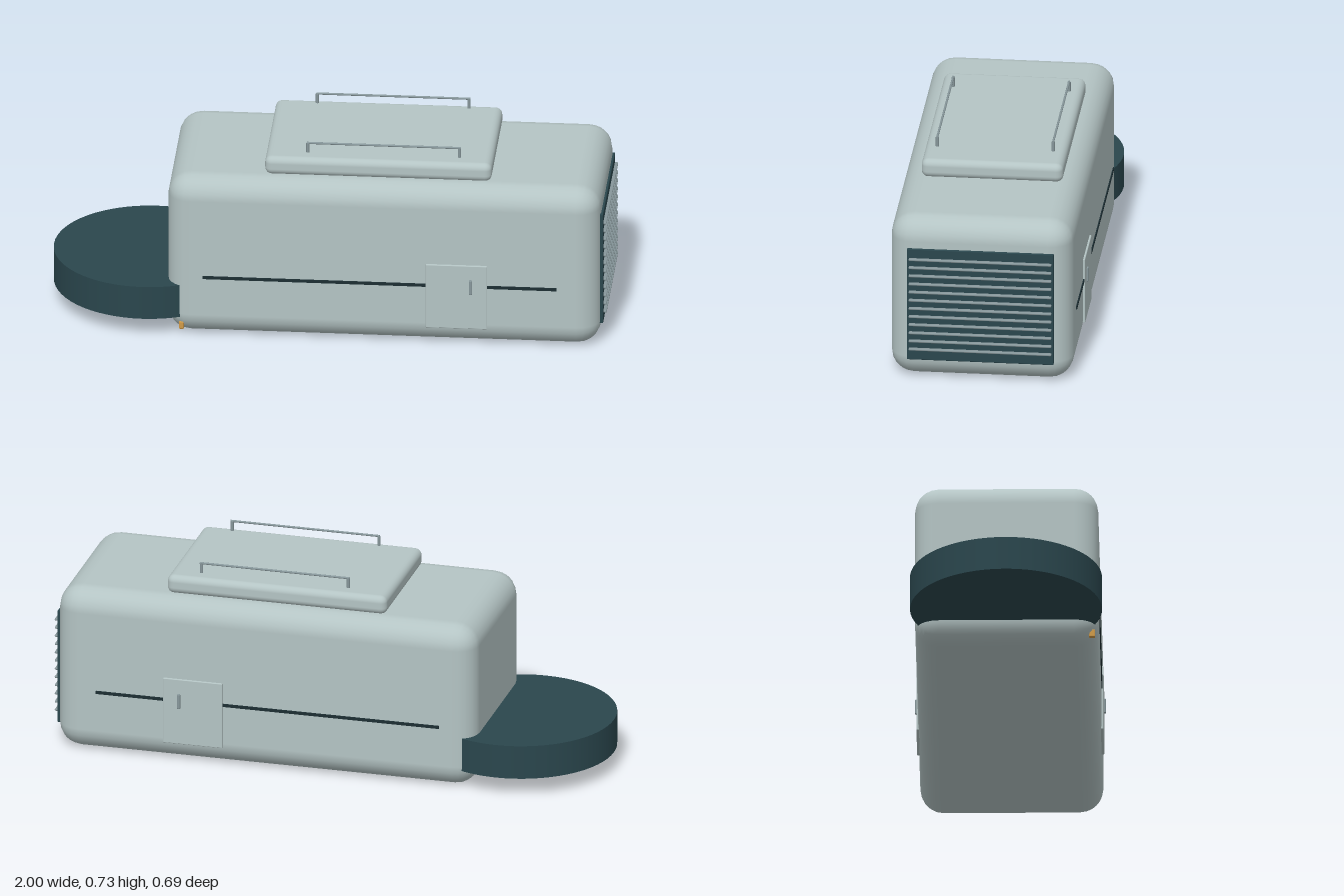
import * as THREE from 'three';
import { RoundedBoxGeometry } from 'three/addons/geometries/RoundedBoxGeometry.js';

const shell = new THREE.MeshStandardMaterial({ color: 0xb4c4c4 });
const dark = new THREE.MeshStandardMaterial({ color: 0x2a464d });
const trim = new THREE.MeshStandardMaterial({ color: 0x1c2e33 });
const metal = new THREE.MeshStandardMaterial({ color: 0x87979b });
const amber = new THREE.MeshStandardMaterial({ color: 0xd09a48 });

export function createModel() {
  const model = new THREE.Group();
  model.name = 'model';

  const add = (name, geometry, material, x, y, z, parent = model) => {
    const mesh = new THREE.Mesh(geometry, material);
    mesh.name = name;
    mesh.position.set(x, y, z);
    parent.add(mesh);
    return mesh;
  };
  // Box given by its min and max corners, rounded when r > 0
  const block = (name, material, [x0, y0, z0], [x1, y1, z1], r = 0, parent = model) => {
    const size = [x1 - x0, y1 - y0, z1 - z0];
    const geometry = r > 0 ? new RoundedBoxGeometry(...size, 3, r) : new THREE.BoxGeometry(...size);
    return add(name, geometry, material, (x0 + x1) / 2, (y0 + y1) / 2, (z0 + z1) / 2, parent);
  };

  // Main housing and raised roof hatch
  block('body', shell, [-0.57, 0, -0.327], [0.98, 0.615, 0.327], 0.085);
  block('roofHatch', shell, [-0.225, 0.61, -0.254], [0.587, 0.68, 0.254], 0.025);

  // Round platform at the end
  add('platform', new THREE.CylinderGeometry(0.343, 0.343, 0.125, 64), dark, -0.657, 0.1325, 0);

  // Vent panel with horizontal slats
  const vent = new THREE.Group();
  vent.name = 'vent';
  model.add(vent);
  block('ventPanel', dark, [0.965, 0.077, -0.263], [0.988, 0.506, 0.263], 0.003, vent);
  for (let i = 0; i < 12; i++) {
    const y = 0.12 + i * 0.0316;
    block('ventSlat', metal, [0.984, y - 0.004, -0.256], [1, y + 0.004, 0.256], 0.0035, vent);
  }

  // Parts repeated on both long sides
  for (const s of [1, -1]) {
    const side = new THREE.Group();
    side.name = s > 0 ? 'frontSide' : 'backSide';
    model.add(side);
    const panel = (name, material, x0, y0, x1, y1, z0, z1, r = 0) =>
      block(name, material, [x0, y0, Math.min(s * z0, s * z1)], [x1, y1, Math.max(s * z0, s * z1)], r, side);

    panel('stripe', trim, -0.442, 0.229, 0.827, 0.24, 0.322, 0.331);
    panel('door', shell, 0.358, 0.07, 0.578, 0.318, 0.322, 0.334, 0.003);
    panel('doorHandle', metal, 0.513, 0.206, 0.525, 0.263, 0.331, 0.341, 0.004);

    // Roof rail on two short posts
    const rail = add('roofRail', new THREE.CylinderGeometry(0.004, 0.004, 0.552, 12), metal, 0.199, 0.723, s * 0.208, side);
    rail.rotation.z = Math.PI / 2;
    for (const x of [-0.074, 0.469]) {
      add('railPost', new THREE.CylinderGeometry(0.006, 0.006, 0.035, 12), metal, x, 0.7045, s * 0.208, side);
    }
  }

  // Small marker lamp low on the corner
  block('markerLamp', amber, [-0.527, 0.022, 0.295], [-0.51, 0.05, 0.316], 0.003);

  return model;
}
